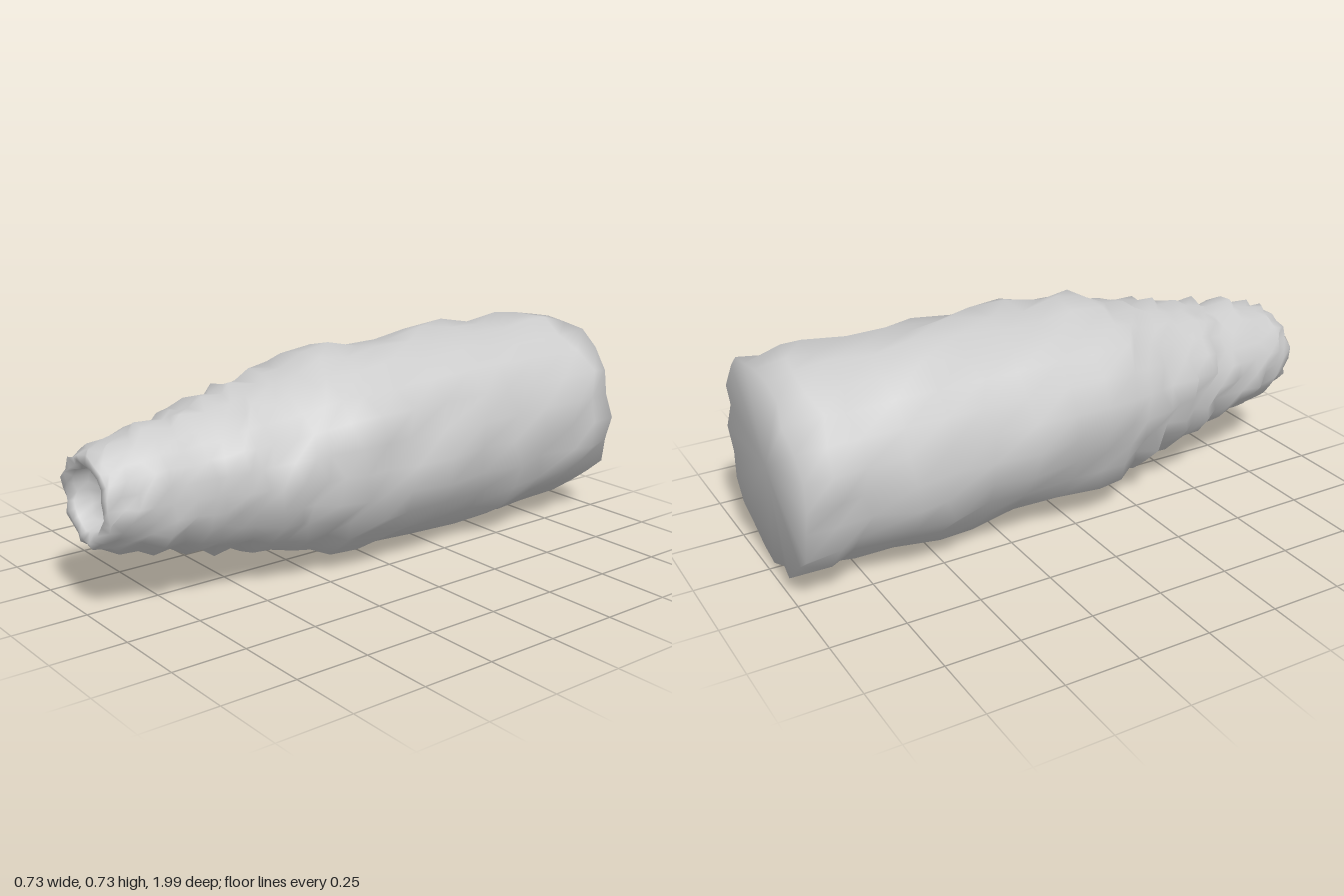
import * as THREE from 'three';
import { mergeVertices } from 'three/addons/utils/BufferGeometryUtils.js';

const SIDES = 24;

// Repeatable noise in -1..1 for a grid cell
function noise(a, b, seed) {
  const s = Math.sin(a * 127.1 + b * 311.7 + seed * 74.7) * 43758.5453;
  return 2 * (s - Math.floor(s)) - 1;
}

export function createModel() {
  const group = new THREE.Group();

  // Profile as [radius, position along the axis]: back cap, body, rippled taper, mouth
  const profile = [
    [0, -0.982], [0.346, -0.987], [0.35, -0.89], [0.347, -0.78], [0.35, -0.64],
    [0.355, -0.5], [0.352, -0.36], [0.349, -0.2], [0.348, -0.05], [0.346, 0.08],
    [0.34, 0.18], [0.314, 0.25], [0.302, 0.32], [0.276, 0.38], [0.276, 0.45],
    [0.25, 0.5], [0.25, 0.56], [0.226, 0.61], [0.226, 0.67], [0.202, 0.72],
    [0.208, 0.79], [0.18, 0.85], [0.174, 0.91], [0.152, 0.95], [0.148, 0.982],
    [0.122, 0.99], [0.104, 0.97], [0.098, 0.92], [0, 0.88],
  ];
  const count = profile.length;
  const geometry = new THREE.LatheGeometry(profile.map(([r, y]) => new THREE.Vector2(r, y)), SIDES);

  // Roughen each ring, keeping the seam and the two end centres closed
  const pos = geometry.attributes.position;
  for (let i = 0; i <= SIDES; i++) {
    for (let j = 1; j < count - 1; j++) {
      const k = i * count + j;
      const side = i % SIDES;
      const mouth = j > count - 6;
      const grow = 1 + noise(side, j, 1) * (mouth ? 0.075 : 0.06);
      const shift = noise(side, j, 2) * (j === 1 || mouth ? 0.01 : 0.025);
      pos.setXYZ(k, pos.getX(k) * grow, pos.getY(k) + shift, pos.getZ(k) * grow);
    }
  }

  // Shared vertices give smooth shading over the whole surface
  geometry.deleteAttribute('uv');
  geometry.deleteAttribute('normal');
  const body = mergeVertices(geometry, 1e-5);
  body.rotateX(Math.PI / 2);
  body.computeVertexNormals();

  // Soften the shading across the back rim
  const p = body.attributes.position;
  const n = new THREE.Vector3();
  for (let i = 0; i < p.count; i++) {
    if (p.getZ(i) > -0.95 || Math.hypot(p.getX(i), p.getY(i)) < 0.2) continue;
    n.set(p.getX(i), p.getY(i), -0.35).normalize();
    body.attributes.normal.setXYZ(i, n.x, n.y, n.z);
  }
  body.translate(0, 0.38, 0);

  const mesh = new THREE.Mesh(body, new THREE.MeshStandardMaterial({ color: 0xcccccc, side: THREE.DoubleSide }));
  mesh.name = 'taperedBody';
  group.add(mesh);
  return group;
}
